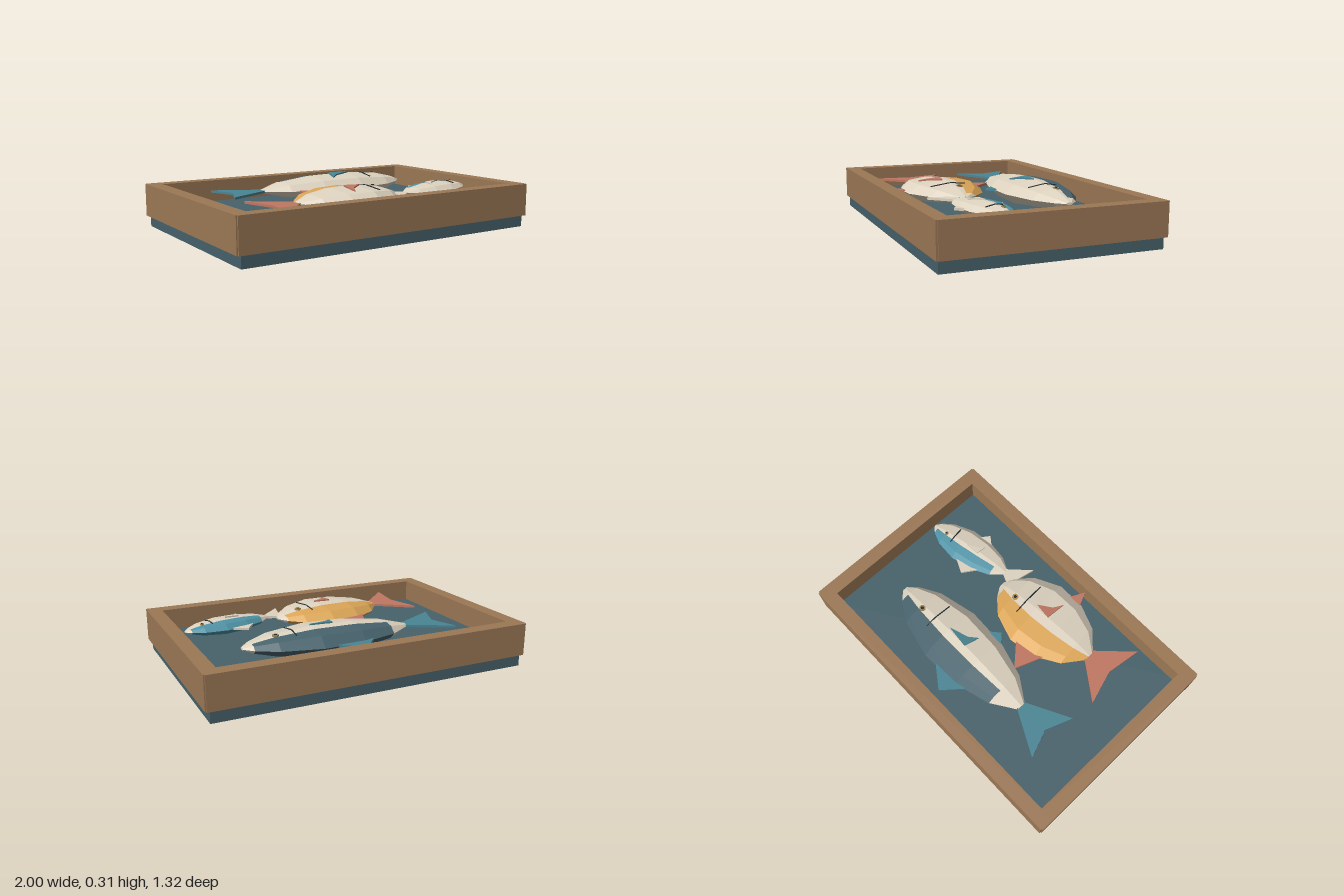
import * as THREE from 'three';

const WOOD = 0x9c7856, BASE = 0x47626b, CREAM = 0xded3c0, DARK = 0x20282c;

// Half width of a fish along its length, both as fractions: tail first, nose last
const PROFILE = [[-0.5, 0.14], [-0.36, 0.63], [-0.15, 0.94], [0.1, 1], [0.33, 0.72], [0.45, 0.36], [0.5, 0.1]];

// Corners of a side fin, as fractions of its length and width
const SIDE_FIN = [[0.13, 0], [1, 0.15], [0.3, 0.55], [0, 1]];

const mat = (color, open = false) => new THREE.MeshStandardMaterial({
  color, flatShading: true, side: open ? THREE.DoubleSide : THREE.FrontSide });

function add(parent, name, geometry, material, pos = [0, 0, 0]) {
  const mesh = new THREE.Mesh(geometry, material);
  mesh.name = name;
  mesh.position.set(...pos);
  parent.add(mesh);
  return mesh;
}

// Radius of a unit octagon at a given angle
const octagon = (a) => Math.cos(Math.PI / 8) / Math.cos((a % (Math.PI / 4)) - Math.PI / 8);

// Skin over the stations [x, radius]; angles run from the top (0) towards the back
function skin(stations, angles, flat, scale = 1) {
  const pos = [], index = [], n = angles.length;
  stations.forEach(([x, r], i) => angles.forEach((deg, j) => {
    const a = THREE.MathUtils.degToRad(deg), k = r * octagon(a) * scale;
    pos.push(x, Math.cos(a) * k * flat, -Math.sin(a) * k);
    if (i < stations.length - 1 && j < n - 1) {
      const p = i * n + j;
      index.push(p, p + n, p + 1, p + 1, p + n, p + n + 1);
    }
  }));
  const g = new THREE.BufferGeometry();
  g.setAttribute('position', new THREE.Float32BufferAttribute(pos, 3));
  g.setIndex(index);
  g.computeVertexNormals();
  return g;
}

// Thin plate lying flat, outlined by [x, z] corners
function plate(points, depth = 0.014) {
  const shape = new THREE.Shape(points.map(([x, z]) => new THREE.Vector2(x, -z)));
  return new THREE.ExtrudeGeometry(shape, { depth, bevelEnabled: false })
    .rotateX(-Math.PI / 2).translate(0, -depth / 2, 0);
}

function makeFish(f) {
  const fish = new THREE.Group();
  fish.name = f.name;
  const half = f.length / 2, flat = f.thick / f.radius;
  const body = PROFILE.map(([x, r]) => [x * f.length, r * f.radius]);

  // Half width of the body at x, and height of its upper skin above the middle plane
  const width = (x) => {
    const i = Math.max(1, body.findIndex(([bx]) => bx >= x));
    const [[x0, r0], [x1, r1]] = [body[i - 1], body[i]];
    return r0 + (r1 - r0) * (x - x0) / (x1 - x0);
  };
  const height = (x, z) => {
    const r = width(x), u = Math.min(Math.abs(z) / r, 1);
    return r * flat * (u < 0.707 ? 1 - 0.293 * u / 0.707 : 0.707 * (1 - u) / 0.293);
  };

  // Faceted body with closed ends and the coloured back
  const ends = [[-half, 0], ...body, [half, 0]];
  add(fish, 'body', skin(ends, [0, 45, 90, 135, 180, 225, 270, 315, 360], flat), mat(CREAM));
  add(fish, 'colouredBack',
    skin(body.slice(f.backStart, -1), [16, 45, 90, 135, 164], flat, 1.015), mat(f.backColor, true));

  // Forked tail
  const finMat = mat(f.finColor), [len, spread, notch] = f.tail, root = body[0][1] * 0.8;
  add(fish, 'tail', plate([[-half + 0.02, -root], [-half - len, -spread], [-half - notch, 0],
    [-half - len, spread], [-half + 0.02, root]]), finMat);

  // Triangular fins rooted inside the edge of the body: start x, tip x, tip z, end x
  const edgeFin = (name, [x0, tipX, tipZ, x1]) => {
    const s = Math.sign(tipZ) * 0.88;
    add(fish, name, plate([[x0, s * width(x0)], [tipX, tipZ], [x1, s * width(x1)]]), finMat);
  };
  edgeFin('backFin', f.backFin);
  edgeFin('bellyFin', f.bellyFin);

  // Side fin draped on the skin
  const [sx, sz, sLen, sWide] = f.sideFin;
  const side = plate(SIDE_FIN.map(([u, v]) => [sx + u * sLen, sz + v * sWide]), 0.01);
  const p = side.attributes.position;
  for (let i = 0; i < p.count; i++) p.setY(i, p.getY(i) + height(p.getX(i), p.getZ(i)) + 0.004);
  add(fish, 'sideFin', side, finMat);

  // Gill line
  const gx = 0.215 * f.length, line = [];
  for (let i = 0; i <= 8; i++) {
    const z = f.radius * (-0.4 + 0.95 * i / 8);
    line.push(new THREE.Vector3(gx, height(gx, z) + 0.002, z));
  }
  add(fish, 'gillLine', new THREE.TubeGeometry(new THREE.CatmullRomCurve3(line), 16, 0.004, 5), mat(DARK));

  // Eye
  const ex = 0.315 * f.length, ez = -0.1 * f.radius, er = f.eye, at = [ex, height(ex, ez), ez];
  add(fish, 'eye', new THREE.CylinderGeometry(er, er, 0.012, 10), mat(f.eyeColor), at);
  add(fish, 'pupil', new THREE.CylinderGeometry(er / 2, er / 2, 0.016, 8), mat(DARK), at);

  fish.position.set(f.x, 0.225, f.z);
  fish.rotation.y = f.turn;
  return fish;
}

const FISHES = [
  {
    name: 'longFish', x: 0.13, z: -0.237, turn: 0, length: 1.06, radius: 0.2, thick: 0.08,
    backStart: 1, backColor: 0x48636d, finColor: 0x4a8594, eyeColor: 0x9a8558, eye: 0.02,
    tail: [0.265, 0.17, 0.2], backFin: [-0.24, -0.115, -0.293, 0.05],
    bellyFin: [-0.18, -0.11, 0.237, -0.03], sideFin: [-0.055, -0.003, 0.165, 0.1],
  },
  {
    name: 'roundFish', x: -0.1, z: 0.257, turn: 0.08, length: 0.72, radius: 0.24, thick: 0.07,
    backStart: 0, backColor: 0xdba556, finColor: 0xc07862, eyeColor: 0xb08a4a, eye: 0.02,
    tail: [0.203, 0.217, 0.155], backFin: [-0.163, -0.071, -0.369, 0.053],
    bellyFin: [-0.11, -0.07, 0.308, -0.009], sideFin: [-0.035, 0, 0.118, 0.13],
  },
  {
    name: 'smallFish', x: 0.583, z: 0.253, turn: 0.18, length: 0.575, radius: 0.118, thick: 0.045,
    backStart: 1, backColor: 0x4f93a6, finColor: CREAM, eyeColor: 0xb08a4a, eye: 0.012,
    tail: [0.131, 0.114, 0.085], backFin: [-0.136, -0.053, -0.17, 0.038],
    bellyFin: [-0.103, -0.051, 0.15, 0], sideFin: [-0.082, -0.014, 0.1, 0.06],
  },
];

export function createModel() {
  const model = new THREE.Group();
  model.name = 'fishTray';

  // Tray floor and the four boards around it
  add(model, 'trayFloor', new THREE.BoxGeometry(1.95, 0.135, 1.29), mat(BASE), [0, 0.0675, 0]);
  for (const s of [-1, 1]) {
    add(model, 'longBoard', new THREE.BoxGeometry(1.986, 0.2, 0.085), mat(WOOD), [0, 0.17, s * 0.6175]);
    add(model, 'sideBoard', new THREE.BoxGeometry(0.088, 0.2, 1.3), mat(WOOD), [s * 0.956, 0.17, 0]);
  }

  FISHES.forEach((f) => model.add(makeFish(f)));
  return model;
}
